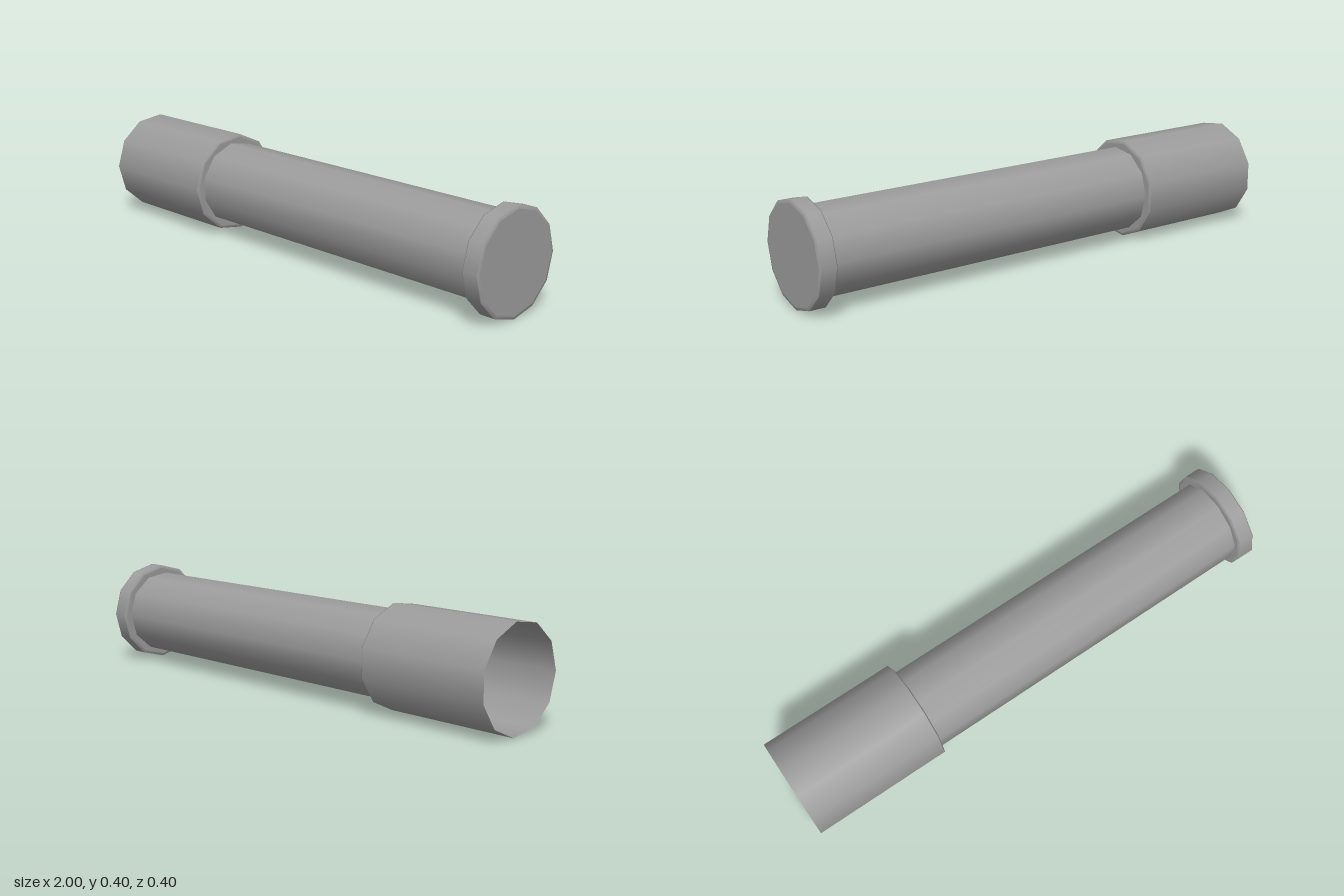
import * as THREE from 'three';

export function createModel() {
  const group = new THREE.Group();
  const material = new THREE.MeshStandardMaterial({ color: 0x9c9c9c, side: THREE.DoubleSide });
  const axisY = 0.199;

  // Turn a profile of [radius, x] points around the long axis
  function turned(name, profile, sides, start = 0) {
    const points = profile.map(([r, x]) => new THREE.Vector2(r, x));
    const geo = new THREE.LatheGeometry(points, sides, start);
    geo.rotateZ(-Math.PI / 2);
    geo.translate(0, axisY, 0);
    const mesh = new THREE.Mesh(geo, material);
    mesh.name = name;
    group.add(mesh);
  }

  // Wide sleeve, open at its outer end, with a softened shoulder at the shaft
  turned('sleeve', [
    [0.198, -1], [0.198, -0.46], [0.198, -0.457], [0.188, -0.454], [0.187, -0.454], [0, -0.454],
  ], 11);

  // Long shaft, turned half a turn against the sleeve
  turned('shaft', [[0.166, -0.454], [0.166, 0.935]], 11, Math.PI);

  // End cap with slim softened rims on both faces
  turned('endCap', [
    [0, 0.932], [0.187, 0.932], [0.188, 0.932], [0.199, 0.935], [0.199, 0.938],
    [0.199, 0.994], [0.199, 0.997], [0.188, 1], [0.187, 1], [0, 1],
  ], 12);

  return group;
}
